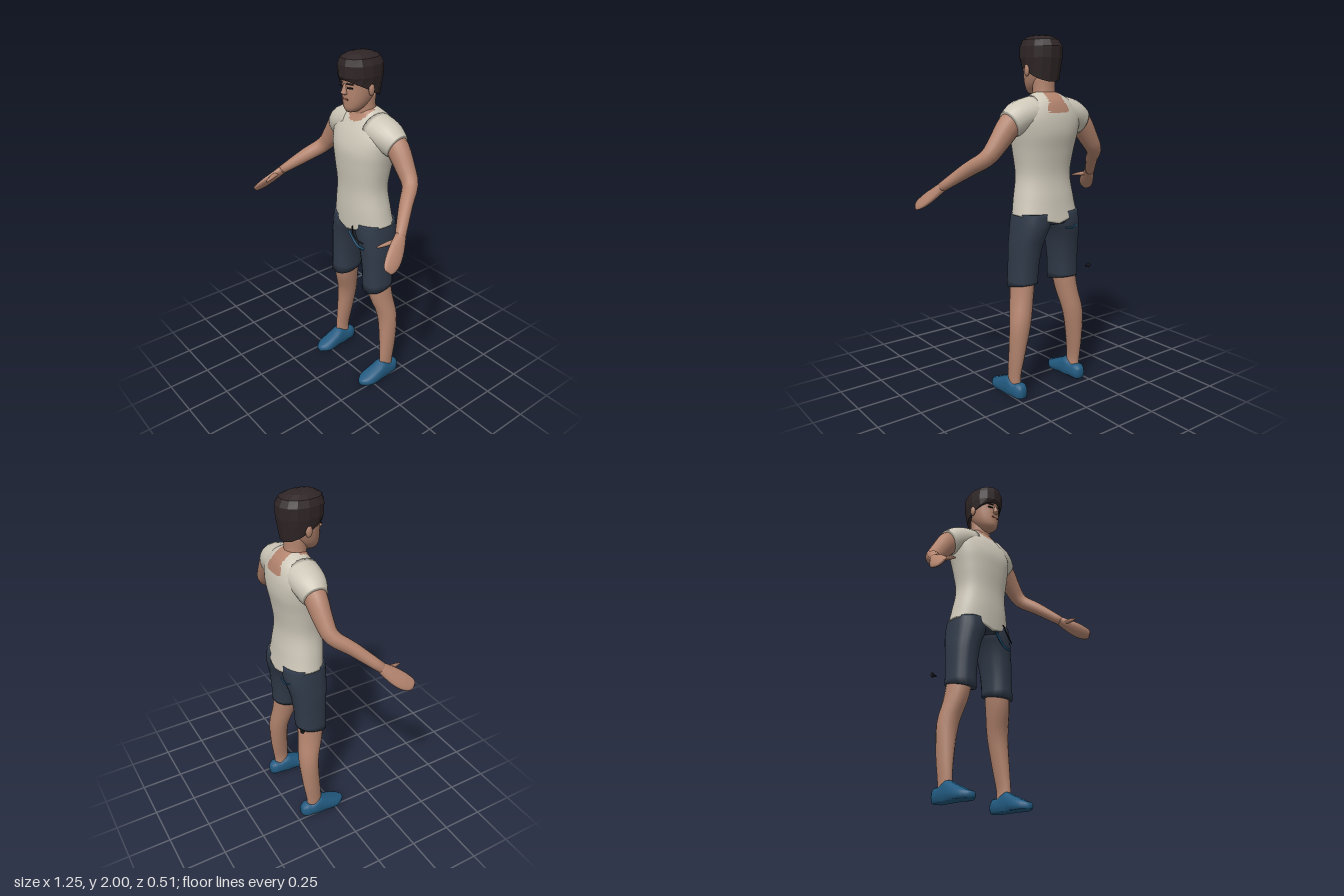
import * as THREE from 'three';

const mat = (name, color) => {
  const m = new THREE.MeshStandardMaterial({ color });
  m.name = name;
  return m;
};

// Adds rounded in-between rows to a list of cross-sections
function refine(rows, n) {
  const out = [];
  for (let i = 0; i < rows.length - 1; i++) {
    const a = rows[Math.max(i - 1, 0)], b = rows[i], c = rows[i + 1], d = rows[Math.min(i + 2, rows.length - 1)];
    for (let k = 0; k < n; k++) {
      const t = k / n;
      out.push(b.map((_, j) => b[j] + 0.5 * t * (c[j] - a[j] + t * (2 * a[j] - 5 * b[j] + 4 * c[j] - d[j] + t * (3 * (b[j] - c[j]) + d[j] - a[j])))));
    }
  }
  out.push(rows[rows.length - 1]);
  return out;
}

// Skins cross-sections [x, y, z, ru, rv]; dir fixes the section plane, otherwise it follows the path
function loft(rows, { dir, ref = [0, 0, -1], sides = 16, steps = 3, power = 1, warp, side = 1, pick } = {}) {
  const secs = refine(rows, steps), pos = [], faces = [];
  const at = (i) => new THREE.Vector3(...secs[Math.min(Math.max(i, 0), secs.length - 1)].slice(0, 3));
  const squash = (v) => Math.sign(v) * Math.abs(v) ** power;
  const push = (p) => { if (warp) warp(p); pos.push(p.x * side, p.y, p.z); };
  secs.forEach((s, i) => {
    const w = dir ? new THREE.Vector3(...dir) : at(i + 1).sub(at(i - 1)).normalize();
    const u = new THREE.Vector3(...ref).cross(w).normalize(), v = w.clone().cross(u);
    for (let j = 0; j < sides; j++) {
      const a = (j / sides) * Math.PI * 2;
      push(at(i).addScaledVector(u, squash(Math.cos(a)) * s[3]).addScaledVector(v, squash(Math.sin(a)) * s[4]));
    }
  });
  const last = (secs.length - 1) * sides, c0 = secs.length * sides;
  push(at(0));
  push(at(secs.length - 1));
  for (let j = 0; j < sides; j++) {
    const k = (j + 1) % sides;
    for (let r = 0; r < last; r += sides) faces.push([r + j, r + k, r + sides + k], [r + j, r + sides + k, r + sides + j]);
    faces.push([c0, k, j], [c0 + 1, last + j, last + k]);
  }
  const geo = new THREE.BufferGeometry();
  geo.setAttribute('position', new THREE.Float32BufferAttribute(pos, 3));
  // Optional split of the faces into two material groups
  const mid = (f, o) => f.reduce((t, q) => t + pos[q * 3 + o], 0) / 3;
  const sets = [[], []];
  faces.forEach((f) => sets[pick && pick(mid(f, 0), mid(f, 1), mid(f, 2)) ? 1 : 0].push(...(side < 0 ? f.reverse() : f)));
  geo.setIndex([...sets[0], ...sets[1]]);
  if (pick) {
    geo.addGroup(0, sets[0].length, 0);
    geo.addGroup(sets[0].length, sets[1].length, 1);
  }
  geo.computeVertexNormals();
  return geo;
}

// Upright section from height, half width, front z and back z
const slab = ([y, rx, front, back, x = 0]) => [x, y, (front + back) / 2, rx, (front - back) / 2];

export function createModel() {
  const root = new THREE.Group();
  const skin = mat('skin', 0xb3846e), shirt = mat('shirt cream', 0xcdc7b8), navy = mat('shorts navy', 0x303a49);
  const blue = mat('shoe blue', 0x225a80), hair = mat('hair dark brown', 0x2f2526), black = mat('cord black', 0x17181c);
  const lip = mat('lip brown', 0x84503f);
  const hairFlat = hair;
  hairFlat.flatShading = true;
  const UP = [0, 1, 0];
  const add = (name, geo, material) => {
    const m = new THREE.Mesh(geo, material);
    m.name = name;
    root.add(m);
    return m;
  };
  const cord = (name, pts, r, material) => add(name, new THREE.TubeGeometry(
    new THREE.CatmullRomCurve3(pts.map((p) => new THREE.Vector3(...p))), 12, r, 5), material);

  // Shirt body with round neckline, open upper back and a hem dipping at the middle
  add('shirt', loft([
    [1.04, .2, .005, -.255], [1.12, .185, .01, -.24], [1.25, .165, .01, -.225], [1.38, .183, .02, -.24],
    [1.48, .204, .022, -.258], [1.56, .215, 0, -.256], [1.62, .185, -.03, -.242], [1.66, .135, -.055, -.222],
    [1.69, .085, -.07, -.19], [1.7, .06, -.08, -.175],
  ].map(slab), {
    dir: UP, sides: 56, steps: 6, power: .9,
    warp: (p) => { p.y -= .05 * Math.max(0, 1 - Math.abs(p.x) / .2) * Math.max(0, 1 - (p.y - 1.04) / .1); },
    pick: (x, y, z) => (z > -.13 ? (x / .078) ** 2 + ((1.7 - y) / .07) ** 2 < 1
      : y > 1.59 && Math.abs(x) < (y < 1.64 ? .065 : .05)),
  }), [shirt, skin]);

  // Hips joining the two short legs
  add('shortsHips', loft([[.985, .15, -.01, -.24], [1.01, .19, -.001, -.249], [1.07, .188, -.003, -.242]].map(slab),
    { dir: UP, sides: 24, power: .85 }), navy);

  for (const side of [1, -1]) {
    const tag = side > 0 ? 'left' : 'right';

    // Cap sleeve
    add(tag + 'Sleeve', loft([
      [.08, 1.6, -.13, .085, .1], [.17, 1.575, -.132, .087, .094], [.22, 1.548, -.135, .082, .08], [.249, 1.533, -.137, .075, .067],
    ], { side, sides: 20 }), shirt);

    // Arm and mitten-like hand
    add(tag + 'Arm', loft([
      [.18, 1.58, -.135, .066, .06], [.25, 1.525, -.136, .067, .06], [.32, 1.435, -.132, .056, .05],
      [.378, 1.363, -.115, .046, .042], [.44, 1.3, -.03, .041, .036], [.535, 1.2, .09, .025, .029],
    ], { side }), skin);
    add(tag + 'Hand', loft([
      [.527, 1.208, .08, .025, .028], [.562, 1.16, .135, .021, .044], [.59, 1.12, .185, .017, .047],
      [.607, 1.095, .225, .011, .036], [.613, 1.085, .24, .006, .022],
    ], { side, sides: 12 }), skin);
    add(tag + 'Thumb', loft([
      [.545, 1.19, .1, .012, .016], [.525, 1.18, .16, .012, .014], [.506, 1.168, .218, .005, .006],
    ], { side, sides: 8 }), skin);

    // Short leg, its hem higher at the back
    add(tag + 'ShortsLeg', loft([
      [.635, .077, -.018, -.202, .146], [.75, .077, -.018, -.207, .141], [.86, .083, -.012, -.222, .131],
      [.93, .09, -.005, -.24, .117], [.99, .101, 0, -.25, .1], [1.05, .098, -.005, -.245, .095],
    ].map(slab), {
      dir: UP, side, sides: 20, power: .85,
      warp: (p) => { if (p.y < .66) p.y -= (p.z + .11) * .2; },
    }), navy);

    // Lower leg
    add(tag + 'Leg', loft([
      [.215, .05, -.13, .034, .045], [.22, .12, -.132, .03, .048], [.212, .25, -.145, .043, .055],
      [.194, .42, -.152, .061, .06], [.167, .55, -.127, .063, .073], [.153, .64, -.116, .064, .078], [.145, .72, -.113, .062, .078],
    ], { dir: UP, side }), skin);

    // Low shoe with flat sole
    add(tag + 'Shoe', loft([
      [.215, .035, -.216, .022, .03], [.216, .035, -.19, .04, .05], [.217, .035, -.15, .045, .05],
      [.217, .04, -.1, .047, .073], [.217, .035, -.06, .05, .058], [.215, .02, 0, .054, .045],
      [.214, .018, .04, .046, .028], [.214, .016, .072, .018, .018],
    ], {
      dir: [0, 0, 1], ref: UP, side, sides: 14, power: .8, steps: 2,
      warp: (p) => { p.y = Math.max(0, p.y); },
    }), blue);

    // Ear, eye and brow
    const ear = add(tag + 'Ear', new THREE.SphereGeometry(1, 8, 6), skin);
    ear.scale.set(.012, .033, .02);
    ear.position.set(side * .093, 1.815, -.085);
    const eye = add(tag + 'Eye', new THREE.BoxGeometry(.03, .007, .008), black);
    eye.position.set(side * .037, 1.826, .014);
    eye.rotation.y = side * .35;
    const brow = add(tag + 'Brow', new THREE.BoxGeometry(.038, .007, .008), hair);
    brow.position.set(side * .038, 1.848, .016);
    brow.rotation.y = side * .35;
  }

  // Neck and head
  add('neck', loft([
    [1.6, .09, -.05, -.2], [1.65, .076, -.06, -.19], [1.7, .064, -.055, -.175], [1.78, .064, -.05, -.175],
  ].map(slab), { dir: UP }), skin);
  add('head', loft([
    [1.69, .028, .002, -.07], [1.71, .05, .014, -.1], [1.74, .068, .018, -.135], [1.78, .08, .02, -.165],
    [1.83, .088, .02, -.185], [1.88, .09, .024, -.195], [1.94, .075, .01, -.18],
  ].map(slab), { dir: UP, sides: 20 }), skin);
  add('nose', loft([
    [1.785, .008, .022, 0], [1.795, .018, .043, 0], [1.81, .013, .04, 0], [1.845, .007, .025, 0],
  ].map(slab), { dir: UP, sides: 8 }), skin);
  const mouth = add('mouth', new THREE.BoxGeometry(.046, .009, .009), lip);
  mouth.position.set(0, 1.762, .016);

  // Cropped hair, cut high over the face and low at the nape
  add('hair', loft([
    [1.81, .094, .03, -.192], [1.88, .103, .04, -.214], [1.94, .102, .042, -.216],
    [1.975, .085, .03, -.195], [1.993, .055, -.005, -.155], [2, .025, -.04, -.12],
  ].map(slab), {
    dir: UP, sides: 14, steps: 1, power: .9,
    warp: (p) => { if (p.y < 1.85) p.y += (p.z + .08) * .5; },
  }), hairFlat);

  // Pocket trim and hanging cord at the front, trim at the back
  cord('frontTrim', [[.02, .985, .006], [.06, .94, .004], [.1, .915, .002], [.145, .912, -.006]], .007, blue);
  cord('frontCord', [[.065, 1.04, .02], [.08, 1, .026], [.11, .97, .022], [.15, .952, .008]], .004, black);
  cord('backTrim', [[-.15, .97, -.238], [-.1, .955, -.25], [-.05, .96, -.246]], .005, blue);
  // Small loose tag beside the right short leg
  const tagMesh = add('looseTag', new THREE.ConeGeometry(.016, .04, 4), black);
  tagMesh.position.set(-.238, .705, -.222);
  tagMesh.rotation.z = -Math.PI / 2;

  return root;
}
